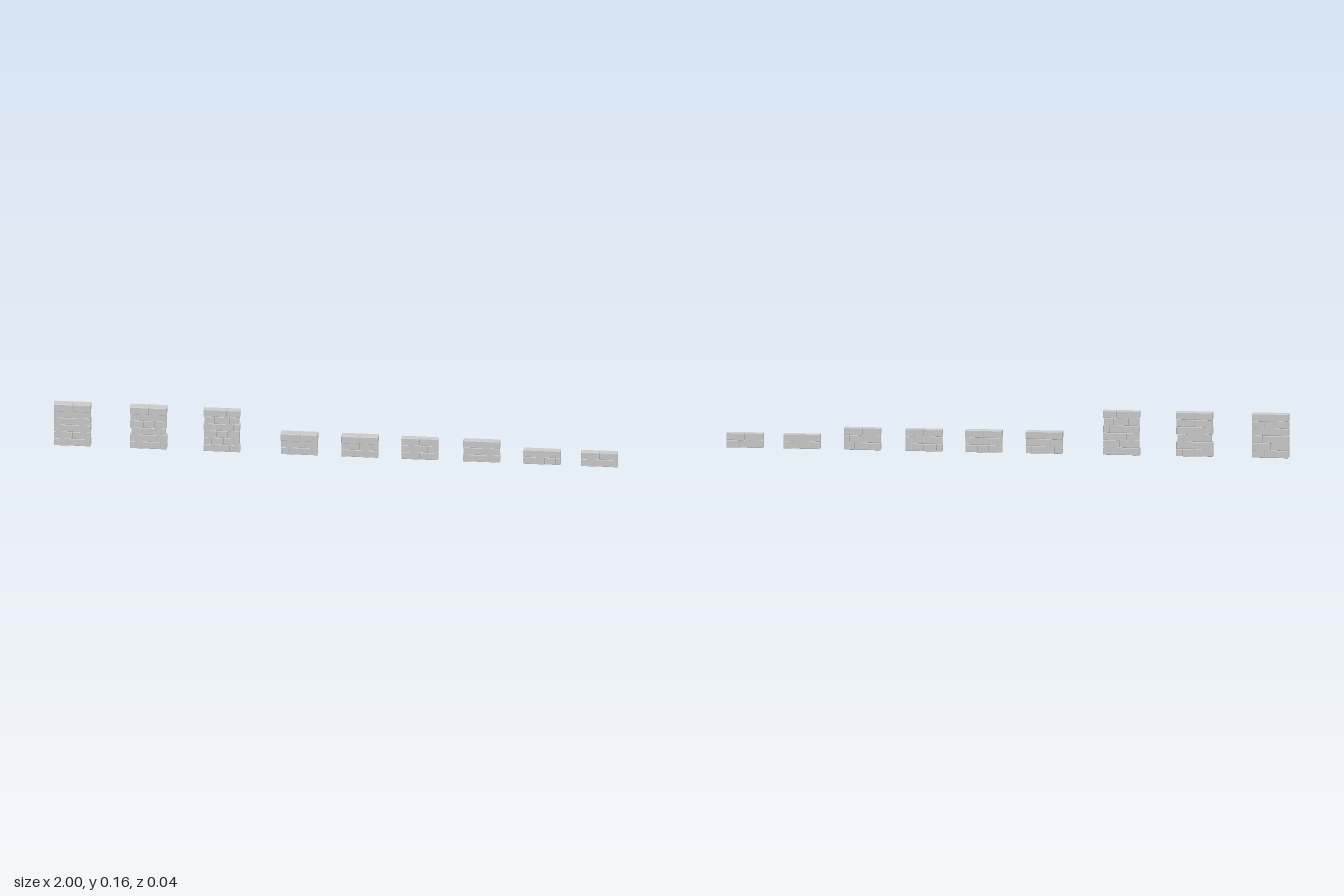
import * as THREE from 'three';
import { RoundedBoxGeometry } from 'three/addons/geometries/RoundedBoxGeometry.js';

const WIDTH = 0.13, ROW = 0.0262, DEPTH = 0.027, CAP_DEPTH = 0.037;

// Brick widths along a course, as fractions of the wall width
const BONDS = {
  halves: [0.5, 0.5],
  thirds: [0.22, 0.34, 0.3, 0.14],
  offset: [0.36, 0.3, 0.34],
  stagger: [0.16, 0.34, 0.32, 0.18],
  long: [0.3, 0.42, 0.28],
  side: [0.64, 0.36],
  trio: [0.5, 0.27, 0.23],
};
const COURSES = ['offset', 'stagger', 'long', 'thirds'];

// Each wall: centre x, number of courses, top bond, capped or plain, ragged ends
const WALLS = [
  { name: 'tallCappedWall', x: -0.935, rows: 6, top: 'halves', cap: true, ragged: 0 },
  { name: 'tallRaggedCappedWall', x: -0.665, rows: 6, top: 'halves', cap: true, ragged: 0.005 },
  { name: 'tallRaggedWall', x: -0.405, rows: 6, top: 'side', cap: false, ragged: 0.004 },
  { name: 'mediumCappedWallA', x: -0.13, rows: 3, top: 'halves', cap: true, ragged: 0.002 },
  { name: 'mediumCappedWallB', x: 0.085, rows: 3, top: 'halves', cap: true, ragged: 0.002 },
  { name: 'mediumWallA', x: 0.298, rows: 3, top: 'trio', cap: false, ragged: 0.001 },
  { name: 'mediumWallB', x: 0.517, rows: 3, top: 'halves', cap: false, ragged: 0.001 },
  { name: 'lowWallA', x: 0.732, rows: 2, top: 'halves', cap: false, ragged: 0 },
  { name: 'lowWallB', x: 0.935, rows: 2, top: 'trio', cap: false, ragged: 0 },
];

function seeded(seed) {
  let s = seed;
  return () => (s = (s * 16807) % 2147483647) / 2147483647;
}

export function createModel() {
  const model = new THREE.Group();
  model.name = 'brickWallSet';
  const stone = new THREE.MeshStandardMaterial({ color: 0xcccccc, flatShading: true });
  const random = seeded(4217);

  // One chamfered brick between x0 and x1
  function brick(name, x0, x1, y, depth) {
    const geometry = new RoundedBoxGeometry(x1 - x0, ROW, depth, 1, 0.0016);
    const mesh = new THREE.Mesh(geometry, stone);
    mesh.name = name;
    mesh.position.set((x0 + x1) / 2, y, 0);
    return mesh;
  }

  WALLS.forEach((spec, index) => {
    const wall = new THREE.Group();
    wall.name = spec.name;
    wall.position.x = spec.x;
    for (let r = 0; r < spec.rows; r++) {
      const isTop = r === spec.rows - 1;
      const capped = isTop && spec.cap;
      const bond = BONDS[isTop ? spec.top : COURSES[(r + index) % COURSES.length]];
      // Alternate courses step in at the ends
      const inset = isTop || r === 0 ? 0 : spec.ragged * random();
      const length = WIDTH - 2 * inset;
      let x = -length / 2;
      for (const part of bond) {
        const end = x + part * length;
        const depth = capped ? CAP_DEPTH : DEPTH - 0.002 * random();
        wall.add(brick(capped ? 'capStone' : 'brick', x, end, (r + 0.5) * ROW, depth));
        x = end;
      }
    }
    model.add(wall);
  });
  return model;
}
